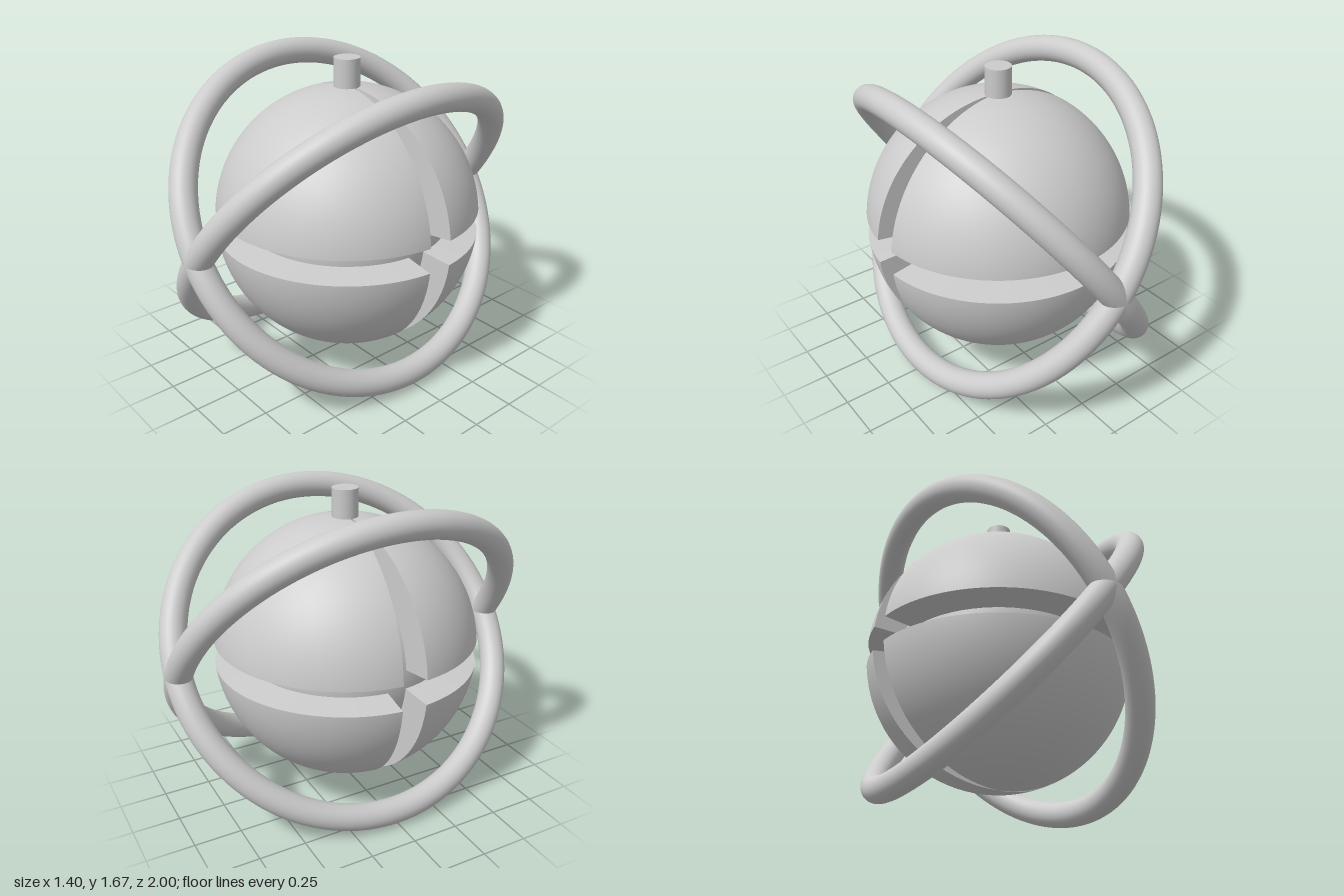
import * as THREE from 'three';

const CENTER = 0.82, R = 0.705, CORE = 0.54, GAP = 0.095;
const grey = new THREE.MeshStandardMaterial({ color: 0xcccccc });
const wallGrey = new THREE.MeshStandardMaterial({ color: 0xcccccc, side: THREE.DoubleSide });

function part(parent, name, geometry, material = grey) {
  const mesh = new THREE.Mesh(geometry, material);
  mesh.name = name;
  parent.add(mesh);
  return mesh;
}

// One quarter of the shell: curved skin, sloped groove wall and two flat side walls
function shellQuarter() {
  const quarter = new THREE.Group();
  quarter.name = 'shellQuarter';
  const sweep = Math.PI - 2 * GAP;
  part(quarter, 'shellSkin', new THREE.SphereGeometry(R, 64, 32, GAP, sweep, 0, Math.PI / 2 - GAP));

  const rim = [0.5, R].map(r => new THREE.Vector2(r * Math.cos(GAP), r * Math.sin(GAP)));
  part(quarter, 'equatorWall', new THREE.LatheGeometry(rim, 64, -Math.PI / 2 + GAP, sweep), wallGrey);

  const sector = new THREE.Shape();
  sector.moveTo(0, 0);
  sector.lineTo(R * Math.cos(GAP), R * Math.sin(GAP));
  sector.absarc(0, 0, R, GAP, Math.PI / 2, false);
  sector.closePath();
  const wall = new THREE.ShapeGeometry(sector, 32);
  for (const angle of [-GAP, Math.PI + GAP])
    part(quarter, 'meridianWall', wall, wallGrey).rotation.y = angle;
  return quarter;
}

export function createModel() {
  const model = new THREE.Group();
  model.name = 'ringedSphere';

  // Inner core seen at the bottom of the grooves
  part(model, 'core', new THREE.SphereGeometry(CORE, 64, 48)).position.y = CENTER;

  // Four shell quarters: upper and lower, front and back
  for (const [x, y, z] of [[0, 0, 0], [0, Math.PI, 0], [0, 0, Math.PI], [Math.PI, 0, 0]]) {
    const quarter = shellQuarter();
    quarter.rotation.set(x, y, z);
    quarter.position.y = CENTER;
    model.add(quarter);
  }

  // Peg on top
  part(model, 'topPeg', new THREE.CylinderGeometry(0.068, 0.068, 0.27, 48)).position.y = 1.535;

  // Two crossed rings around the sphere, meeting at front and back
  const ring = new THREE.TorusGeometry(0.93, 0.07, 32, 128).rotateY(Math.PI / 2);
  for (const [name, y, tilt] of [['ringLeaningRight', 0.841, 0.613], ['ringLeaningLeft', 0.817, -0.643]]) {
    const mesh = part(model, name, ring);
    mesh.position.y = y;
    mesh.rotation.z = tilt;
  }
  return model;
}
